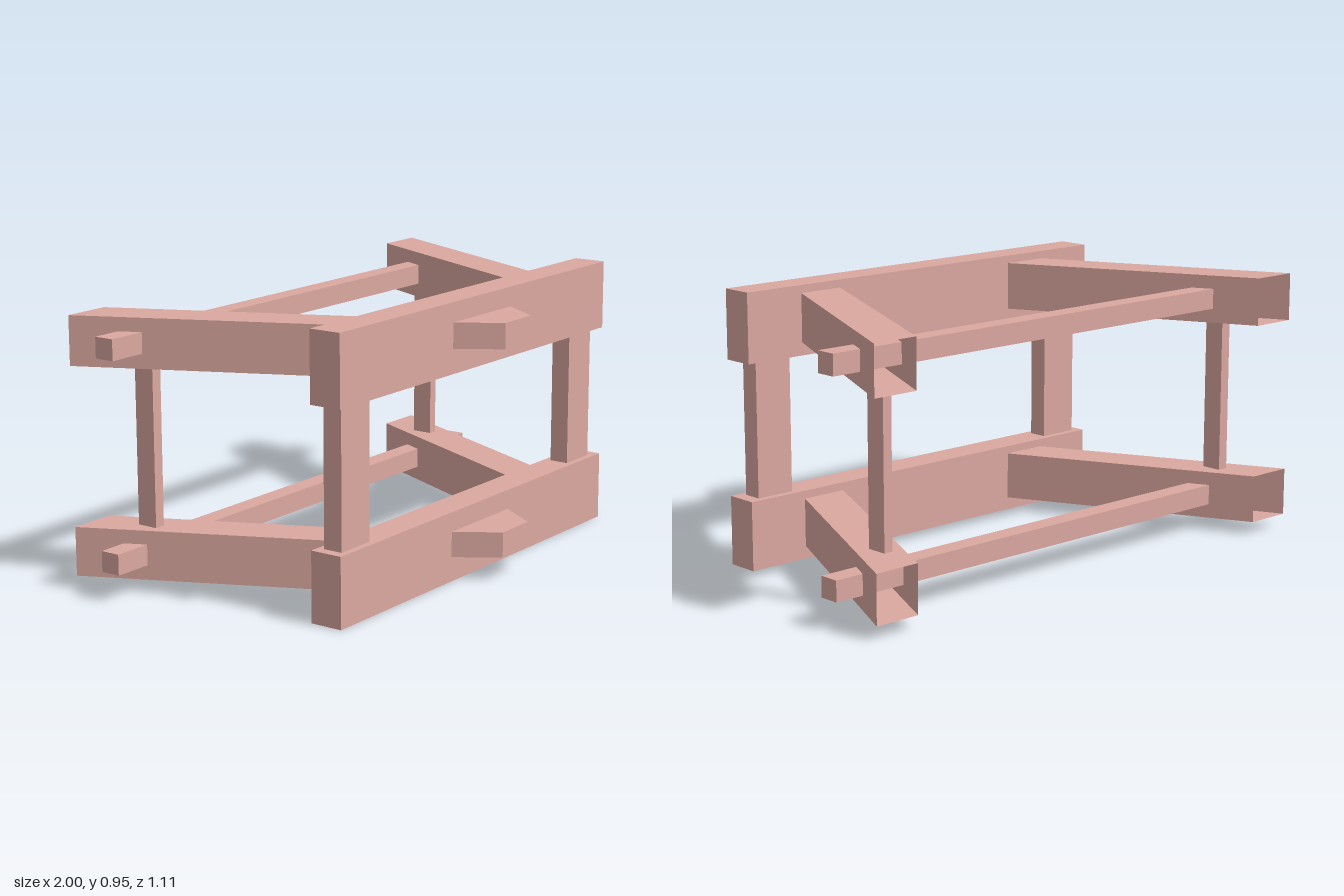
import * as THREE from 'three';

const material = new THREE.MeshStandardMaterial({ color: 0xdba8a0, side: THREE.DoubleSide });

// Box given by its limits on each axis; omit lists side numbers (+x -x +y -y +z -z) left open
function block(name, [x0, x1], [y0, y1], [z0, z1], omit = []) {
  const geo = new THREE.BoxGeometry(x1 - x0, y1 - y0, z1 - z0);
  geo.translate((x0 + x1) / 2, (y0 + y1) / 2, (z0 + z1) / 2);
  const index = Array.from(geo.index.array).filter((_, i) => !omit.includes(Math.floor(i / 6)));
  geo.setIndex(index);
  geo.clearGroups();
  const mesh = new THREE.Mesh(geo, material);
  mesh.name = name;
  return mesh;
}

// Moves the x of each vertex by a rule, then restores flat normals
function reshapeX(mesh, rule) {
  const p = mesh.geometry.attributes.position;
  for (let i = 0; i < p.count; i++) p.setX(i, rule(p.getX(i), p.getZ(i)));
  mesh.geometry.computeVertexNormals();
  return mesh;
}

// One level of the frame: front beam, bumper, splayed arms and cross rail
function createFrame(name, y) {
  const frame = new THREE.Group();
  frame.name = name;
  frame.add(block('frontBeam', [-0.79, 0.79], [0, 0.241], [0.295, 0.411]));

  const bumper = block('bumper', [-0.172, 0.172], [0.085, 0.173], [0.411, 0.553]);
  frame.add(reshapeX(bumper, (x, z) => (z > 0.5 ? x * 0.45 : x)));

  // Hollow arms, open at both ends and leaning outward to the rear
  for (const [side, label] of [[1, 'leftArm'], [-1, 'rightArm']]) {
    const arm = block(label, [-0.084, 0.084], [0.045, 0.213], [-0.553, 0.295], [4, 5]);
    frame.add(reshapeX(arm, (x, z) => x + side * (z < 0 ? 0.88 : 0.479)));
  }

  frame.add(block('crossRail', [-1, 1], [0.095, 0.166], [-0.404, -0.332]));
  frame.position.y = y;
  return frame;
}

export function createModel() {
  const model = new THREE.Group();
  model.name = 'frameStructure';
  model.add(createFrame('lowerFrame', 0), createFrame('upperFrame', 0.712));

  // Upright posts joining the two frames, with open ends
  const ends = [2, 3];
  model.add(
    block('leftFrontPost', [0.6, 0.743], [0.241, 0.725], [0.319, 0.388], ends),
    block('rightFrontPost', [-0.754, -0.606], [0.241, 0.725], [0.319, 0.388], ends),
    block('leftRearPost', [0.769, 0.803], [0.213, 0.757], [-0.403, -0.328], ends),
    block('rightRearPost', [-0.818, -0.779], [0.213, 0.757], [-0.403, -0.328], ends),
  );
  return model;
}
